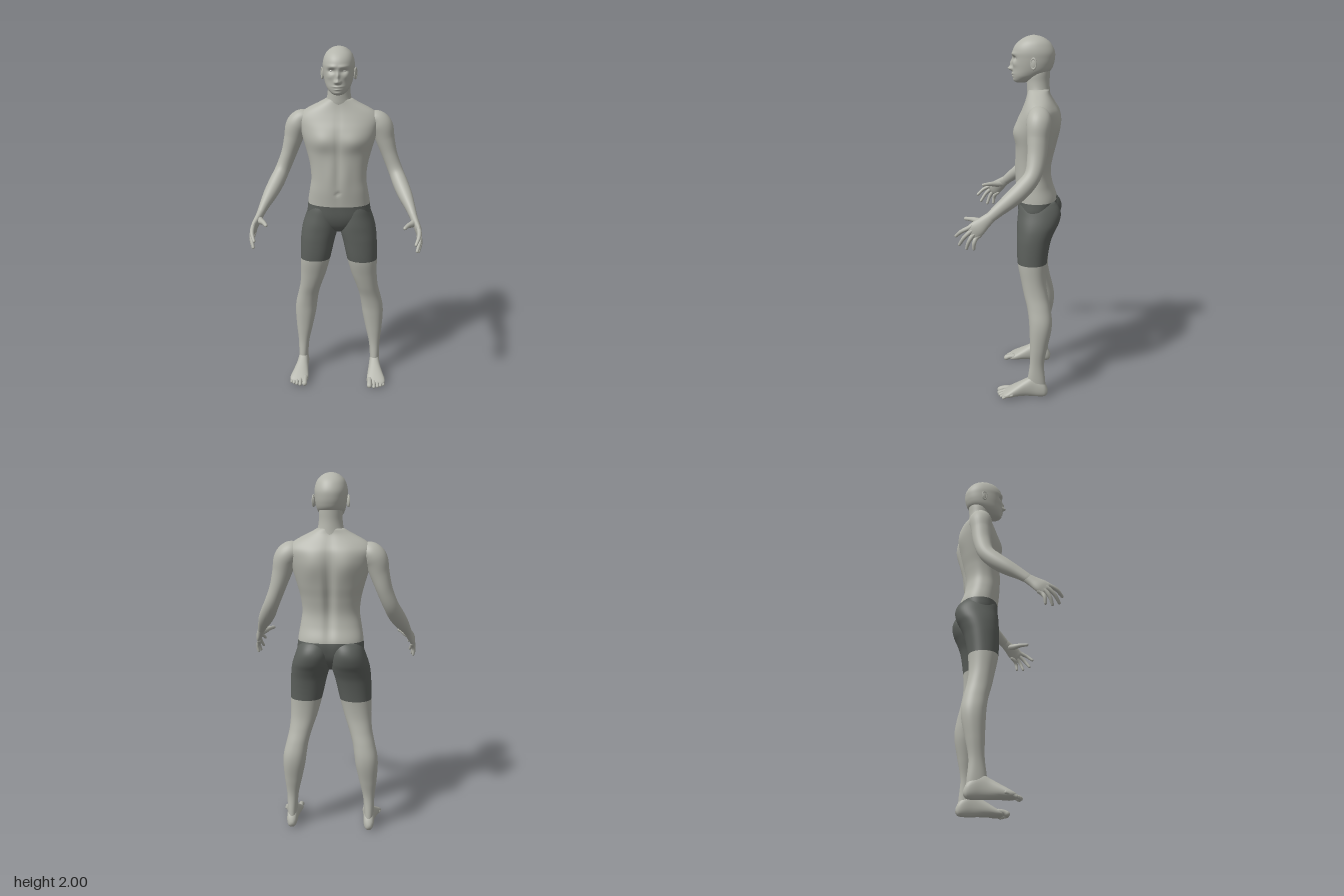
import * as THREE from 'three';

const std = (name, color) => {
  const m = new THREE.MeshStandardMaterial({ color });
  m.name = name;
  return m;
};
const gauss = (x, y, x0, y0, sx, sy) => Math.exp(-(((x - x0) / sx) ** 2) - ((y - y0) / sy) ** 2);

// Smooth interpolation of rows [t, ...values] at t
function sample(rows, t) {
  let i = 0;
  while (i < rows.length - 2 && t > rows[i + 1][0]) i++;
  const slope = (k, c) => {
    const a = rows[Math.max(k - 1, 0)], b = rows[Math.min(k + 1, rows.length - 1)];
    return (b[c] - a[c]) / (b[0] - a[0]);
  };
  const p = rows[i], q = rows[i + 1], h = q[0] - p[0], u = (t - p[0]) / h;
  return p.map((v, c) => c === 0 ? t :
    (1 + 2 * u) * (1 - u) ** 2 * v + u * (1 - u) ** 2 * h * slope(i, c) +
    u * u * (3 - 2 * u) * q[c] + u * u * (u - 1) * h * slope(i + 1, c));
}

// Joins closed rings of points into a capped skin; slot(i) gives the material index of band i
function skinRings(rings, flip = false, slot = () => 0) {
  const n = rings[0].length, pos = [], lists = [[], []];
  rings.forEach(r => r.forEach(p => pos.push(p.x, p.y, p.z)));
  const tri = (s, a, b, c) => flip ? lists[s].push(a, c, b) : lists[s].push(a, b, c);
  for (let i = 0; i < rings.length - 1; i++)
    for (let j = 0; j < n; j++) {
      const a = i * n + j, b = i * n + (j + 1) % n;
      tri(slot(i), a, b, a + n);
      tri(slot(i), b, b + n, a + n);
    }
  [0, rings.length - 1].forEach((i, end) => {
    const c = rings[i].reduce((s, p) => s.add(p), new THREE.Vector3()).divideScalar(n);
    const id = pos.length / 3;
    pos.push(c.x, c.y, c.z);
    for (let j = 0; j < n; j++) {
      const a = i * n + j, b = i * n + (j + 1) % n;
      const s = slot(Math.min(i, rings.length - 2));
      end ? tri(s, a, b, id) : tri(s, b, a, id);
    }
  });
  const g = new THREE.BufferGeometry();
  g.setAttribute('position', new THREE.Float32BufferAttribute(pos, 3));
  g.setIndex([...lists[0], ...lists[1]]);
  g.addGroup(0, lists[0].length, 0);
  g.addGroup(lists[0].length, lists[1].length, 1);
  g.computeVertexNormals();
  return g;
}

// Loft along y (rows: y, x0, x1, z0, z1) or along z (rows: z, x0, x1, y0, y1)
function loft(rows, { axis = 'y', step = 0.01, segs = 48, power = 2, tweak, slot } = {}) {
  const t0 = rows[0][0], t1 = rows[rows.length - 1][0], count = Math.round((t1 - t0) / step);
  const rings = [], bend = v => Math.sign(v) * Math.abs(v) ** (2 / power);
  for (let i = 0; i <= count; i++) {
    const t = t0 + (t1 - t0) * i / count, [, a0, a1, b0, b1] = sample(rows, t);
    rings.push(Array.from({ length: segs }, (_, j) => {
      const th = j / segs * Math.PI * 2;
      const a = (a0 + a1) / 2 + (a1 - a0) / 2 * bend(Math.cos(th));
      const b = (b0 + b1) / 2 + (b1 - b0) / 2 * bend(Math.sin(th));
      const p = axis === 'y' ? new THREE.Vector3(a, t, b) : new THREE.Vector3(a, b, t);
      if (tweak) tweak(p, Math.sin(th));
      return p;
    }));
  }
  return skinRings(rings, axis === 'y', slot && (i => slot(t0 + (i + 0.5) * (t1 - t0) / count)));
}

// Limb along a path (rows: x, y, z, radius along ref, other radius) with round ends
function limb(rows, ref, count = 12, segs = 14) {
  const curve = new THREE.CatmullRomCurve3(rows.map(r => new THREE.Vector3(r[0], r[1], r[2])));
  const radii = rows.map((r, i) => [i, r[3], r[4] ?? r[3]]), rings = [];
  const ring = (u, push, k) => {
    const T = curve.getTangent(u), A = ref.clone().addScaledVector(T, -ref.dot(T)).normalize();
    const B = T.clone().cross(A), [, ra, rb] = sample(radii, u * (rows.length - 1));
    const c = curve.getPoint(u).addScaledVector(T, push * Math.min(ra, rb));
    rings.push(Array.from({ length: segs }, (_, j) => {
      const th = j / segs * Math.PI * 2;
      return c.clone().addScaledVector(A, ra * k * Math.cos(th)).addScaledVector(B, rb * k * Math.sin(th));
    }));
  };
  const ends = [0.2, 0.6, 0.88];
  ends.forEach(k => ring(0, -Math.sqrt(1 - k * k), k));
  for (let i = 0; i <= count; i++) ring(i / count, 0, 1);
  ends.reverse().forEach(k => ring(1, Math.sqrt(1 - k * k), k));
  return skinRings(rings);
}

function mirrored(geo) {
  const g = geo.clone(), ix = g.index;
  for (const name of ['position', 'normal']) {
    const at = g.attributes[name];
    for (let i = 0; i < at.count; i++) at.setX(i, -at.getX(i));
  }
  for (let i = 0; i < ix.count; i += 3) {
    const b = ix.getX(i + 1);
    ix.setX(i + 1, ix.getX(i + 2));
    ix.setX(i + 2, b);
  }
  return g;
}

export function createModel() {
  const root = new THREE.Group();
  root.name = 'standingMan';
  const skin = std('skin', 0xb4b5ac), shorts = std('shorts', 0x5c605c), eyeWhite = std('eyeWhite', 0xd2d2cb);
  const add = (name, geo, mat = skin) => {
    const m = new THREE.Mesh(geo, mat);
    m.name = name;
    root.add(m);
  };
  const pair = (name, geo, mat = skin) => {
    add('left' + name, geo, mat);
    add('right' + name, mirrored(geo), mat);
  };
  // rows of y, half width, back z, front z
  const sym = rows => rows.map(([y, w, b, f]) => [y, -w, w, b, f]);

  // Torso with chest, shoulder blades, spine groove and navel
  add('torso', loft(sym([
    [0.95, 0.03, -0.15, -0.09], [0.97, 0.07, -0.18, -0.065], [1.0, 0.14, -0.21, -0.045], [1.05, 0.178, -0.235, -0.03],
    [1.12, 0.178, -0.245, -0.025], [1.2, 0.166, -0.22, -0.018], [1.27, 0.156, -0.21, -0.016],
    [1.35, 0.163, -0.222, -0.016], [1.42, 0.18, -0.238, -0.016], [1.5, 0.203, -0.25, -0.014],
    [1.56, 0.218, -0.252, -0.027], [1.61, 0.225, -0.244, -0.048], [1.645, 0.2, -0.226, -0.062],
    [1.67, 0.16, -0.212, -0.07], [1.695, 0.11, -0.2, -0.076], [1.72, 0.066, -0.195, -0.08]]), {
    segs: 96, power: 2.25, slot: y => (y < 1.12 ? 1 : 0),
    tweak: (p, s) => {
      const x = Math.abs(p.x), y = p.y;
      if (s > 0) p.z += s * (0.016 * gauss(x, y, 0.09, 1.495, 0.07, 0.055) - 0.006 * gauss(x, y, 0, 1.4, 0.015, 0.2)
        + 0.005 * gauss(x, y, 0.045, 1.3, 0.03, 0.1) - 0.008 * gauss(x, y, 0, 1.2, 0.01, 0.01));
      else p.z += -s * (0.02 * gauss(x, y, 0, 1.36, 0.025, 0.22) - 0.014 * gauss(x, y, 0.09, 1.54, 0.06, 0.08));
    }
  }), [skin, shorts]);

  // Legs, with the shorts as bands of the same surface
  pair('Leg', loft([
    [0.04, 0.195, 0.247, -0.205, -0.1], [0.1, 0.194, 0.25, -0.2, -0.1], [0.2, 0.186, 0.252, -0.193, -0.112],
    [0.3, 0.164, 0.262, -0.21, -0.112], [0.4, 0.143, 0.268, -0.23, -0.108], [0.46, 0.135, 0.264, -0.233, -0.104],
    [0.53, 0.124, 0.248, -0.222, -0.093], [0.6, 0.104, 0.233, -0.206, -0.074], [0.68, 0.077, 0.226, -0.194, -0.056],
    [0.78, 0.05, 0.225, -0.198, -0.036], [0.9, 0.023, 0.222, -0.217, -0.03], [0.96, 0.006, 0.216, -0.24, -0.03],
    [1.0, 0.001, 0.207, -0.26, -0.03], [1.05, 0.002, 0.19, -0.27, -0.034], [1.09, 0.006, 0.175, -0.257, -0.038],
    [1.12, 0.012, 0.158, -0.232, -0.045]],
    { power: 2.15, slot: y => (y > 0.78 ? 1 : 0) }), [skin, shorts]);

  // Feet and toes
  pair('Foot', loft([
    [-0.215, 0.212, 0.234, 0.02, 0.045], [-0.205, 0.2, 0.246, 0.006, 0.07], [-0.18, 0.192, 0.252, 0, 0.1],
    [-0.13, 0.19, 0.254, 0, 0.125], [-0.09, 0.187, 0.26, 0.002, 0.105], [-0.04, 0.182, 0.275, 0.003, 0.076],
    [0, 0.179, 0.288, 0.001, 0.052], [0.025, 0.181, 0.288, 0.003, 0.036], [0.04, 0.19, 0.275, 0.008, 0.026]],
    { axis: 'z', segs: 32, power: 2.3 }));
  [[0.197, 0.06, 0.016], [0.224, 0.064, 0.0105], [0.245, 0.056, 0.01], [0.263, 0.046, 0.0095], [0.279, 0.034, 0.009]]
    .forEach(([x, z, r], i) => pair('Toe' + (i + 1), limb(
      [[x, 0.028, z - 0.05, r], [x, r + 0.01, z - 0.02, r * 0.9], [x, r + 0.001, z, r]],
      new THREE.Vector3(1, 0, 0), 8, 12)));

  // Arms from shoulder to wrist
  const across = new THREE.Vector3(0, 0.55, 0.83);
  pair('Arm', limb([
    [0.175, 1.6, -0.152, 0.055, 0.045], [0.212, 1.592, -0.152, 0.062, 0.057], [0.238, 1.56, -0.15, 0.064, 0.062],
    [0.258, 1.49, -0.148, 0.056, 0.053], [0.286, 1.4, -0.144, 0.05, 0.043], [0.322, 1.31, -0.125, 0.044, 0.041],
    [0.35, 1.25, -0.078, 0.046, 0.043], [0.378, 1.198, -0.02, 0.042, 0.039], [0.404, 1.15, 0.04, 0.033, 0.028],
    [0.422, 1.112, 0.085, 0.027, 0.021]], across, 48, 28));

  // Palms, fingers and thumbs
  pair('Palm', limb([
    [0.418, 1.12, 0.075, 0.027, 0.021], [0.432, 1.09, 0.112, 0.034, 0.02], [0.446, 1.062, 0.145, 0.042, 0.018],
    [0.452, 1.043, 0.17, 0.041, 0.013]], across, 12, 20));
  [['IndexFinger', 0.45, 1.066, 0.188, 0.432, 1.016, 0.258], ['MiddleFinger', 0.454, 1.048, 0.178, 0.44, 0.973, 0.24],
    ['RingFinger', 0.455, 1.03, 0.165, 0.45, 0.956, 0.202], ['LittleFinger', 0.452, 1.014, 0.15, 0.457, 0.957, 0.164]]
    .forEach(([name, x, y, z, tx, ty, tz]) => pair(name, limb([
      [x - 0.004, y + 0.014, z - 0.018, 0.011], [x, y, z, 0.012],
      [(x + tx) / 2 + 0.006, (y + ty) / 2 + 0.004, (z + tz) / 2 + 0.004, 0.0105], [tx, ty, tz, 0.008]], across, 10, 12)));
  pair('Thumb', limb([[0.43, 1.09, 0.105, 0.02], [0.412, 1.09, 0.14, 0.018], [0.39, 1.094, 0.178, 0.0125],
    [0.372, 1.092, 0.215, 0.0095]], across, 12, 12));

  // Neck
  add('neck', loft(sym([[1.66, 0.095, -0.205, -0.085], [1.69, 0.08, -0.2, -0.076], [1.72, 0.068, -0.197, -0.074],
    [1.76, 0.062, -0.195, -0.072], [1.8, 0.062, -0.197, -0.07], [1.85, 0.055, -0.2, -0.09]])));

  // Head with brow, eye sockets, nose, cheeks, lips and chin
  add('head', loft(sym([
    [1.752, 0.018, -0.06, -0.02], [1.757, 0.032, -0.082, -0.01], [1.768, 0.046, -0.112, -0.003],
    [1.785, 0.061, -0.148, 0], [1.8, 0.069, -0.176, 0.002], [1.82, 0.076, -0.202, 0.002], [1.85, 0.082, -0.216, 0.003],
    [1.88, 0.085, -0.222, 0.005], [1.91, 0.086, -0.222, 0.005], [1.94, 0.08, -0.211, -0.005], [1.965, 0.068, -0.193, -0.026],
    [1.985, 0.047, -0.166, -0.055], [1.995, 0.028, -0.141, -0.078], [2.0, 0.008, -0.116, -0.1]]), {
    step: 0.004, segs: 128, power: 2.15,
    tweak: (p, s) => {
      if (s < 0.2) return;
      const x = Math.abs(p.x), y = p.y;
      p.z += 0.024 * gauss(x, y, 0, 1.826, 0.012, 0.012) + 0.015 * gauss(x, y, 0, 1.852, 0.009, 0.022)
        + 0.008 * gauss(x, y, 0.012, 1.824, 0.007, 0.007) - 0.015 * gauss(x, y, 0.033, 1.88, 0.019, 0.012)
        + 0.005 * gauss(x, y, 0.03, 1.904, 0.026, 0.009) + 0.004 * gauss(x, y, 0.045, 1.85, 0.016, 0.014)
        + 0.009 * gauss(x, y, 0, 1.799, 0.023, 0.006) + 0.008 * gauss(x, y, 0, 1.786, 0.02, 0.006)
        - 0.004 * gauss(x, y, 0, 1.7925, 0.024, 0.003) + 0.005 * gauss(x, y, 0, 1.766, 0.02, 0.009);
    }
  }));
  pair('Eye', new THREE.SphereGeometry(0.0125, 20, 14).scale(1, 0.7, 1).translate(0.033, 1.88, -0.0265), eyeWhite);

  // Ears
  pair('Ear', new THREE.SphereGeometry(1, 16, 12).scale(0.007, 0.03, 0.017).rotateY(-0.35).translate(0.088, 1.854, -0.112));
  pair('EarRim', new THREE.TorusGeometry(0.015, 0.004, 8, 24).scale(1, 1.75, 1)
    .rotateY(Math.PI / 2 - 0.35).translate(0.091, 1.856, -0.113));

  return root;
}
